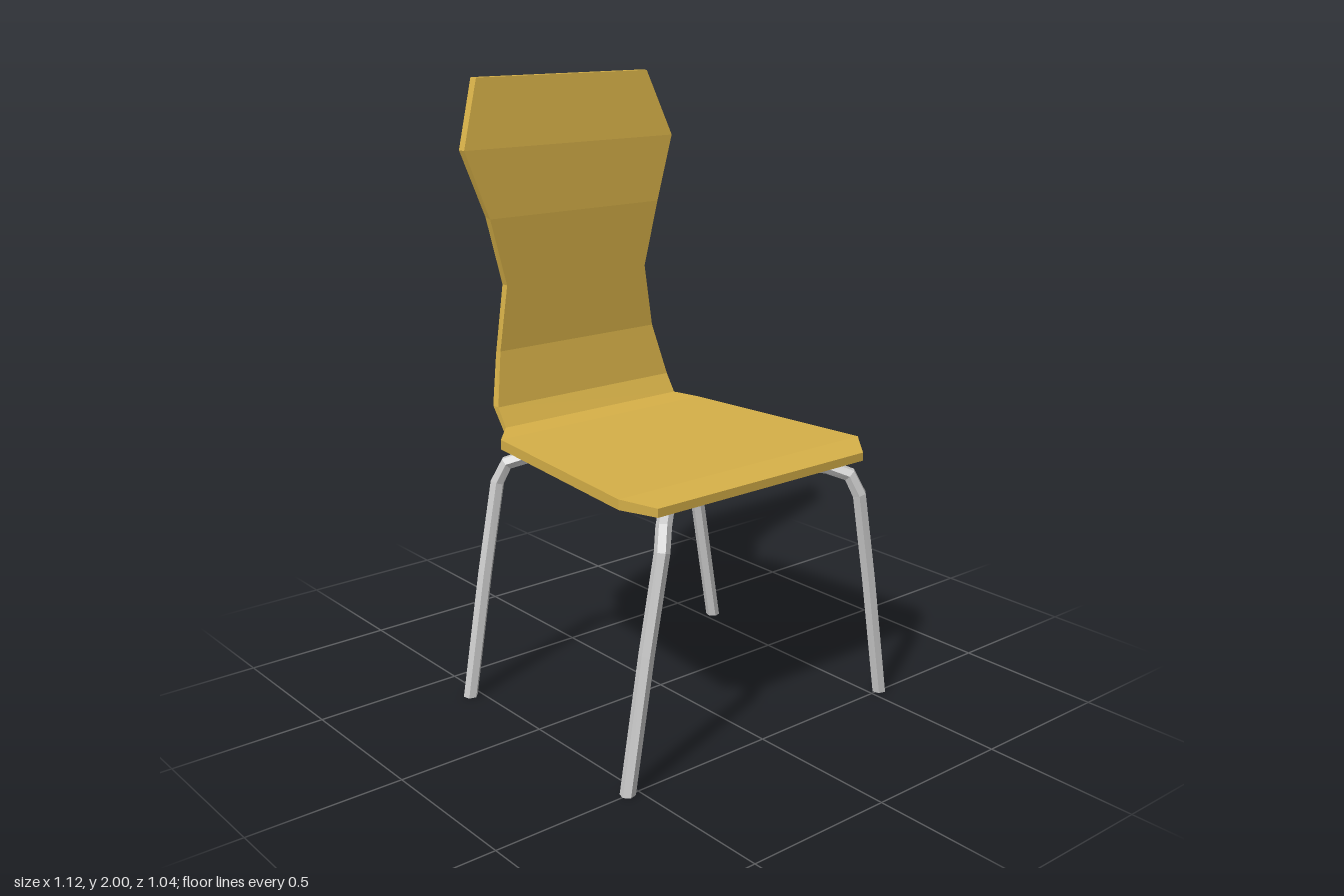
import * as THREE from 'three';

// Closed faceted solid through a list of equal-sized rings, with end caps
function loft(rings, color, name) {
  const pos = [];
  const tri = (...pts) => pts.forEach(p => pos.push(p.x, p.y, p.z));
  const n = rings[0].length;
  for (let i = 0; i < rings.length - 1; i++) {
    for (let j = 0; j < n; j++) {
      const k = (j + 1) % n;
      const a = rings[i][j], b = rings[i][k], c = rings[i + 1][k], d = rings[i + 1][j];
      tri(a, d, c);
      tri(a, c, b);
    }
  }
  const first = rings[0], last = rings[rings.length - 1];
  for (let j = 1; j < n - 1; j++) {
    tri(first[0], first[j], first[j + 1]);
    tri(last[0], last[j + 1], last[j]);
  }
  const geo = new THREE.BufferGeometry();
  geo.setAttribute('position', new THREE.Float32BufferAttribute(pos, 3));
  geo.computeVertexNormals();
  const mesh = new THREE.Mesh(geo, new THREE.MeshStandardMaterial({ color, flatShading: true }));
  mesh.name = name;
  return mesh;
}

const V = (x, y, z) => new THREE.Vector3(x, y, z);
const HUB_Z = 0.078, BAR_Y = 0.811;

// Bent seat and back: [upper z, upper y, lower z, lower y, half width, x shift]
function seatShell() {
  const stations = [
    [0.495, 0.855, 0.495, 0.828, 0.42, 0],
    [0.41, 0.877, 0.41, 0.845, 0.49, -0.005],
    [-0.29, 0.877, -0.29, 0.845, 0.418, -0.005],
    [-0.357, 0.89, -0.357, 0.86, 0.358, 0],
    [-0.397, 0.95, -0.427, 0.95, 0.358, 0],
    [-0.433, 1.125, -0.46, 1.11, 0.32, 0],
    [-0.433, 1.34, -0.46, 1.34, 0.287, 0],
    [-0.433, 1.56, -0.46, 1.565, 0.345, 0],
    [-0.45, 1.78, -0.48, 1.78, 0.423, 0],
    [-0.49, 2.0, -0.522, 2.0, 0.345, 0],
  ];
  const rings = stations.map(([uz, uy, lz, ly, w, s]) => [
    V(w + s, uy, uz), V(-w + s, uy, uz), V(-w + s, ly, lz), V(w + s, ly, lz),
  ]);
  return loft(rings, 0xd6b048, 'seatShell');
}

// Hexagonal tube from a front foot, across under the seat, to the opposite back foot
function legTube(side, name) {
  const half = [
    [0.537, 0, 0.419], [0.465, 0.42, 0.419], [0.407, 0.72, 0.419],
    [0.383, 0.785, 0.397], [0.33, BAR_Y, 0.345],
  ];
  const front = half.map(([x, y, z]) => V(side * x, y, HUB_Z + z));
  const back = half.map(([x, y, z]) => V(-side * x, y, HUB_Z - z)).reverse();
  const path = [...front, ...back];
  const across = V(side, 0, -1).normalize();
  const rings = path.map((p, i) => {
    const t = V(0, 0, 0);
    if (i > 0) t.add(p.clone().sub(path[i - 1]).normalize());
    if (i < path.length - 1) t.add(path[i + 1].clone().sub(p).normalize());
    t.normalize();
    // Feet are cut level with the floor
    if (i === 0) t.set(0, 1, 0);
    if (i === path.length - 1) t.set(0, -1, 0);
    const s = across.clone().addScaledVector(t, -across.dot(t)).normalize();
    const n = s.clone().cross(t);
    return Array.from({ length: 6 }, (_, k) => {
      const a = (k * Math.PI) / 3;
      return p.clone().addScaledVector(s, 0.024 * Math.cos(a)).addScaledVector(n, 0.024 * Math.sin(a));
    });
  });
  return loft(rings, 0xcccccc, name);
}

export function createModel() {
  const group = new THREE.Group();
  group.name = 'chair';
  group.add(seatShell(), legTube(1, 'legTubeLeftFront'), legTube(-1, 'legTubeRightFront'));

  // Block that joins the crossing tubes
  const hub = new THREE.Mesh(
    new THREE.BoxGeometry(0.066, 0.066, 0.066),
    new THREE.MeshStandardMaterial({ color: 0xcccccc, flatShading: true })
  );
  hub.name = 'crossJoint';
  hub.position.set(0, 0.812, HUB_Z);
  hub.rotation.y = Math.PI / 4;
  group.add(hub);
  return group;
}
